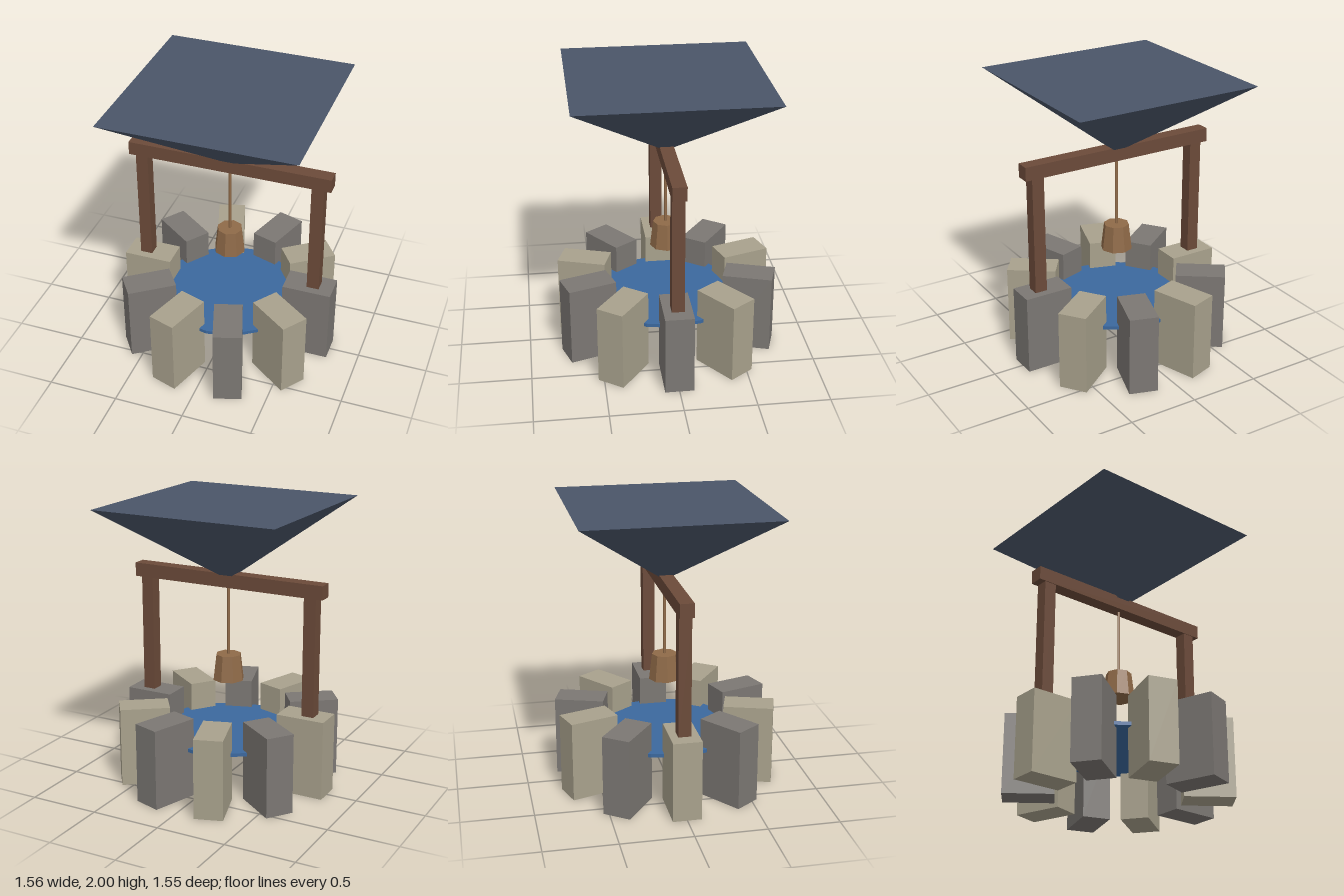
import * as THREE from 'three';

const mat = (name, color) => {
  const m = new THREE.MeshStandardMaterial({ color });
  m.name = name;
  m.flatShading = true;
  return m;
};

export function createModel() {
  const greyStone = mat('grey stone', 0x7b7773);
  const paleStone = mat('pale stone', 0xa8a18c);
  const wood = mat('dark wood', 0x6b4a39);
  const bucketWood = mat('bucket wood', 0x8f6a48);
  const water = mat('water blue', 0x3b689e);
  const slate = mat('slate blue', 0x4a5568);

  const well = new THREE.Group();
  well.name = 'well';

  const add = (parent, name, geometry, material, x = 0, y = 0, z = 0) => {
    const mesh = new THREE.Mesh(geometry, material);
    mesh.name = name;
    mesh.position.set(x, y, z);
    parent.add(mesh);
    return mesh;
  };

  // Ring of ten upright stones in alternating colours
  const ring = new THREE.Group();
  ring.name = 'stoneRing';
  well.add(ring);
  const count = 10, radius = 0.605;
  const stone = new THREE.BoxGeometry(0.35, 0.57, 0.2);
  for (let i = 0; i < count; i++) {
    const a = (i / count) * Math.PI * 2;
    const block = add(ring, 'stone', stone, i % 2 ? paleStone : greyStone,
      Math.cos(a) * radius, 0.285, Math.sin(a) * radius);
    block.rotation.y = -a;
  }

  // Water disc
  add(well, 'water', new THREE.CylinderGeometry(0.505, 0.505, 0.025, 16), water, 0, 0.352, 0);

  // Wooden frame
  for (const side of [-1, 1]) {
    add(well, side > 0 ? 'leftPost' : 'rightPost',
      new THREE.BoxGeometry(0.088, 0.86, 0.088), wood, side * 0.637, 0.985, 0);
  }
  add(well, 'crossbeam', new THREE.BoxGeometry(1.46, 0.098, 0.098), wood, 0, 1.462, 0);

  // Rope and bucket
  add(well, 'rope', new THREE.CylinderGeometry(0.01, 0.01, 0.52, 6), bucketWood, 0, 1.16, 0);
  add(well, 'bucket', new THREE.CylinderGeometry(0.09, 0.112, 0.187, 8), bucketWood, 0, 0.828, 0);

  // Inverted pyramid roof, its point set into the beam
  const roofGeometry = new THREE.ConeGeometry(0.672 * Math.SQRT2, 0.54, 4);
  roofGeometry.rotateY(Math.PI / 4);
  roofGeometry.rotateX(Math.PI);
  add(well, 'roof', roofGeometry, slate, 0, 1.73, 0);

  return well;
}
